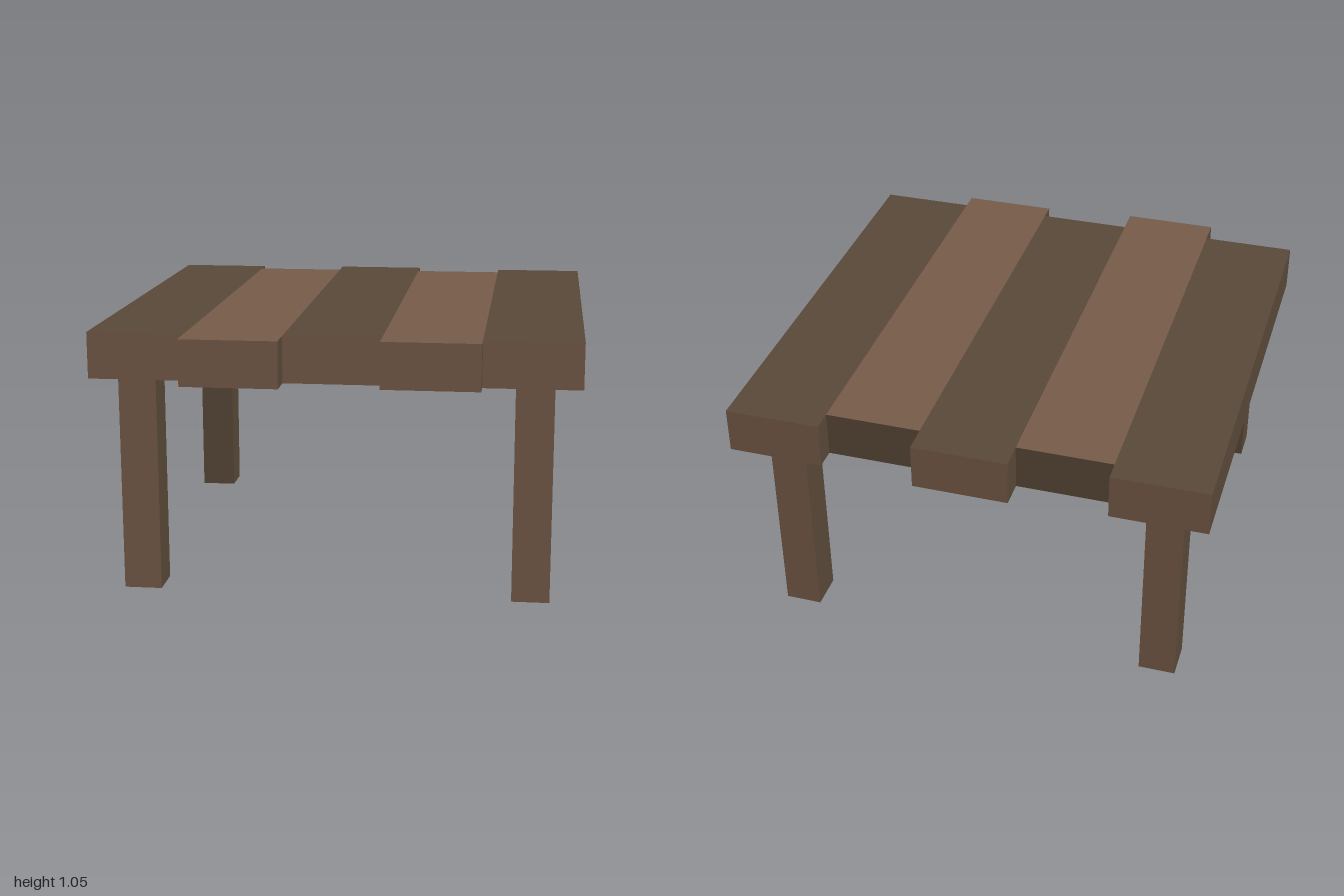
import * as THREE from 'three';

export function createModel() {
  const table = new THREE.Group();
  table.name = 'table';

  const light = new THREE.MeshStandardMaterial({ color: 0x785c4a });
  light.name = 'lightWood';
  const dark = new THREE.MeshStandardMaterial({ color: 0x5a4a3a });
  dark.name = 'darkWood';

  // Box between two corners; faces are ordered +x, -x, +y, -y, +z, -z
  function addBox(name, [x0, x1], [y0, y1], [z0, z1], materials) {
    const mesh = new THREE.Mesh(new THREE.BoxGeometry(x1 - x0, y1 - y0, z1 - z0), materials);
    mesh.name = name;
    mesh.position.set((x0 + x1) / 2, (y0 + y1) / 2, (z0 + z1) / 2);
    table.add(mesh);
  }

  const underside = 0.865;
  const top = 1.05;

  // Five planks of alternating wood with uneven ends
  const plankEnds = [[-0.97, 0.89], [-0.89, 1], [-1, 0.89], [-0.89, 0.965], [-0.975, 0.89]];
  const width = 0.385;
  plankEnds.forEach((ends, i) => {
    const x = (i - 2.5) * width;
    const materials = i % 2
      ? [dark, dark, light, light, light, dark]
      : [dark, dark, dark, dark, light, light];
    addBox('plank' + (i + 1), [x, x + width], [underside, top], ends, materials);
  });

  // Four square legs, light on the face towards the nearer table end
  const legsX = { right: [-0.85, -0.7], left: [0.705, 0.855] };
  const legsZ = { front: [0.71, 0.86], back: [-0.845, -0.695] };
  for (const [side, xs] of Object.entries(legsX)) {
    for (const [end, zs] of Object.entries(legsZ)) {
      const ends = end === 'front' ? [light, dark] : [dark, light];
      const name = end + (side === 'left' ? 'Left' : 'Right') + 'Leg';
      addBox(name, xs, [0, underside], zs, [dark, dark, dark, dark, ...ends]);
    }
  }

  return table;
}
